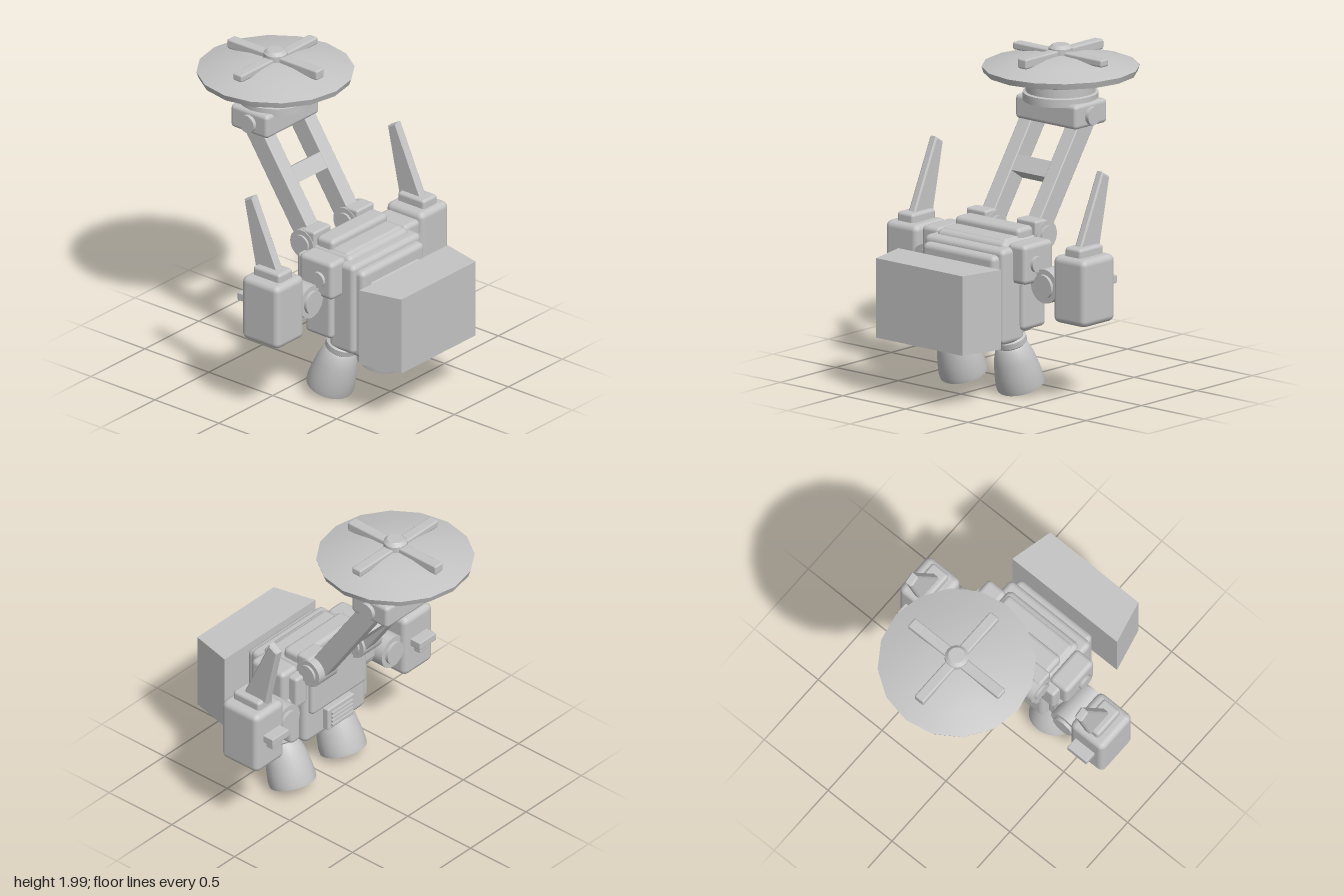
import * as THREE from 'three';
import { toCreasedNormals } from 'three/addons/utils/BufferGeometryUtils.js';
import { RoundedBoxGeometry } from 'three/addons/geometries/RoundedBoxGeometry.js';

const grey = new THREE.MeshStandardMaterial({ color: 0xc4c4c4, side: THREE.DoubleSide });
grey.name = 'grey plating';

function add(parent, name, geometry, x = 0, y = 0, z = 0) {
  const mesh = new THREE.Mesh(geometry, grey);
  mesh.name = name;
  mesh.position.set(x, y, z);
  parent.add(mesh);
  return mesh;
}

// Box given by its limits, with chamfered edges of size r
function block(parent, name, x0, x1, y0, y1, z0, z1, r = 0.02) {
  const w = x1 - x0, h = y1 - y0, d = z1 - z0;
  const g = r > 0 ? new RoundedBoxGeometry(w, h, d, 2, r) : new THREE.BoxGeometry(w, h, d);
  return add(parent, name, g, (x0 + x1) / 2, (y0 + y1) / 2, (z0 + z1) / 2);
}

// Cylinder along the chosen axis
function rod(parent, name, axis, r, length, x, y, z) {
  const g = new THREE.CylinderGeometry(r, r, length, 24);
  if (axis === 'x') g.rotateZ(Math.PI / 2);
  if (axis === 'z') g.rotateX(Math.PI / 2);
  return add(parent, name, g, x, y, z);
}

function lathe(points, sides) {
  const g = new THREE.LatheGeometry(points.map(p => new THREE.Vector2(...p)), sides);
  return toCreasedNormals(g, 0.6);
}

function group(parent, name) {
  const g = new THREE.Group();
  g.name = name;
  parent.add(g);
  return g;
}

function makeBody(root) {
  const body = group(root, 'body');
  block(body, 'core', -0.28, 0.28, 0.41, 0.97, 0.07, 0.42, 0.04);
  block(body, 'backPlate', -0.25, 0.25, 0.62, 0.93, 0.04, 0.12, 0.025);
  block(body, 'topRidge', -0.26, 0.26, 0.90, 1.025, 0.13, 0.27, 0.03);
  block(body, 'topStep', -0.26, 0.26, 0.85, 0.98, 0.24, 0.39, 0.03);
  block(body, 'chestLayer', -0.32, 0.32, 0.35, 0.94, 0.28, 0.48, 0.035);
  block(body, 'chestPlate', -0.29, 0.29, 0.33, 0.905, 0.42, 0.53, 0.035);
  block(body, 'chestPanel', -0.22, 0.22, 0.42, 0.82, 0.5, 0.545, 0.01);
  // rear vent with slats
  block(body, 'ventFrame', -0.12, 0.12, 0.45, 0.60, 0.03, 0.12, 0.01);
  for (let i = 0; i < 4; i++) {
    const y = 0.475 + i * 0.028;
    block(body, 'ventSlat', -0.095, 0.095, y, y + 0.014, 0.015, 0.04, 0);
  }
}

function makeSide(root, s, label) {
  const side = group(root, label + 'Side');
  const box = (name, x0, x1, ...rest) =>
    block(side, name, Math.min(s * x0, s * x1), Math.max(s * x0, s * x1), ...rest);

  // shoulder and body flank
  box('shoulder', 0.27, 0.415, 0.72, 0.965, 0.13, 0.39, 0.03);
  rod(side, 'shoulderPin', 'x', 0.05, 0.03, s * 0.42, 0.84, 0.29);
  box('rearShoulder', 0.26, 0.36, 0.72, 0.93, 0.07, 0.18, 0.02);
  box('flank', 0.26, 0.35, 0.42, 0.73, 0.12, 0.33, 0.03);

  // joint carrying the pod
  rod(side, 'jointAxle', 'x', 0.07, 0.3, s * 0.43, 0.71, 0.17);
  rod(side, 'joint', 'z', 0.105, 0.25, s * 0.475, 0.71, 0.16);
  rod(side, 'jointCap', 'z', 0.073, 0.29, s * 0.475, 0.71, 0.16);

  // pod
  box('pod', 0.54, 0.80, 0.50, 0.915, 0, 0.29, 0.04);
  box('podCap', 0.605, 0.735, 0.89, 0.97, 0.04, 0.25, 0.02);
  box('podRearFitting', 0.59, 0.74, 0.71, 0.76, -0.075, 0.03, 0.006);
  box('podRearStep', 0.62, 0.71, 0.66, 0.72, -0.05, 0.03, 0.006);

  // tapered fin leaning back; shape is drawn in (-z, y)
  const fin = new THREE.Shape([[-0.19, 0.96], [-0.03, 0.96], [0.055, 1.355], [0.005, 1.385]]
    .map(p => new THREE.Vector2(...p)));
  const finGeometry = new THREE.ExtrudeGeometry(fin, {
    depth: 0.035, bevelEnabled: true, bevelSize: 0.01, bevelThickness: 0.01, bevelSegments: 1 });
  finGeometry.translate(0, 0, -0.0175).rotateY(Math.PI / 2);
  add(side, 'fin', finGeometry, s * 0.665, 0, 0);

  // hollow bell thruster with collar and neck
  const bell = lathe([[0, 0.2], [0.09, 0.2], [0.115, 0.12], [0.132, 0.01], [0.145, 0],
    [0.147, 0.03], [0.14, 0.1], [0.125, 0.19], [0.1, 0.265], [0.088, 0.28], [0.1, 0.29],
    [0.1, 0.325], [0.078, 0.345], [0.078, 0.4], [0.088, 0.41], [0.088, 0.475], [0, 0.48]], 24);
  add(side, 'thruster', bell, s * 0.228, 0.055, 0.217).rotation.x = 0.315;
  box('thrusterMount', 0.15, 0.31, 0.40, 0.54, 0.2, 0.38, 0.02);

  // mast hinge
  rod(side, 'mastHinge', 'x', 0.09, 0.17, s * 0.2, 0.95, 0.045);
  rod(side, 'mastHingePin', 'x', 0.06, 0.2, s * 0.2, 0.95, 0.045);
  box('mastHingeBase', 0.12, 0.28, 0.88, 1.05, 0.04, 0.14, 0.015);
}

function makeMast(root) {
  const mast = group(root, 'mast');
  mast.position.set(0, 0.95, 0.03);
  mast.rotation.x = -0.595;
  for (const s of [-1, 1]) {
    block(mast, 'mastArm', s * 0.183 - 0.05, s * 0.183 + 0.05, 0, 0.77, -0.065, 0.065, 0.008);
  }
  block(mast, 'mastCrossbar', -0.14, 0.14, 0.33, 0.435, -0.055, 0.06, 0);
}

function makeHead(root) {
  const head = group(root, 'head');
  block(head, 'headBracket', -0.245, 0.245, 1.53, 1.68, -0.55, -0.26, 0.025);
  rod(head, 'headPin', 'x', 0.056, 0.54, 0, 1.60, -0.4);
  const z = -0.4;
  const neck = lathe([[0, 1.66], [0.228, 1.66], [0.228, 1.71], [0.21, 1.715], [0.21, 1.79]], 24);
  add(head, 'neck', neck, 0, 0, z);
  const dish = lathe([[0, 1.77], [0.22, 1.77], [0.462, 1.83], [0.475, 1.868],
    [0.32, 1.912], [0.17, 1.938], [0, 1.945]], 16);
  add(head, 'dish', dish, 0, 0, z);
  // crossed blades and hub
  block(head, 'sideBlade', -0.355, 0.355, 1.915, 1.962, z - 0.035, z + 0.035, 0.012);
  block(head, 'longBlade', -0.035, 0.035, 1.91, 1.972, z - 0.352, z + 0.352, 0.012);
  const hub = lathe([[0.072, 1.92], [0.072, 1.98], [0.05, 2], [0, 2]], 16);
  add(head, 'hub', hub, 0, 0, z);
}

// Free-standing wedge block in front, narrower at its face
function makeFrontBlock(root) {
  const outline = new THREE.Shape([[-0.41, -0.6], [-0.345, -0.875], [0.345, -0.875], [0.41, -0.6]]
    .map(p => new THREE.Vector2(...p)));
  const g = new THREE.ExtrudeGeometry(outline, { depth: 0.49, bevelEnabled: false });
  g.rotateX(-Math.PI / 2);
  add(root, 'frontBlock', g, 0, 0.37, 0);
}

export function createModel() {
  const root = new THREE.Group();
  root.name = 'dishBackpack';
  makeBody(root);
  makeSide(root, 1, 'left');
  makeSide(root, -1, 'right');
  makeMast(root);
  makeHead(root);
  makeFrontBlock(root);
  return root;
}
